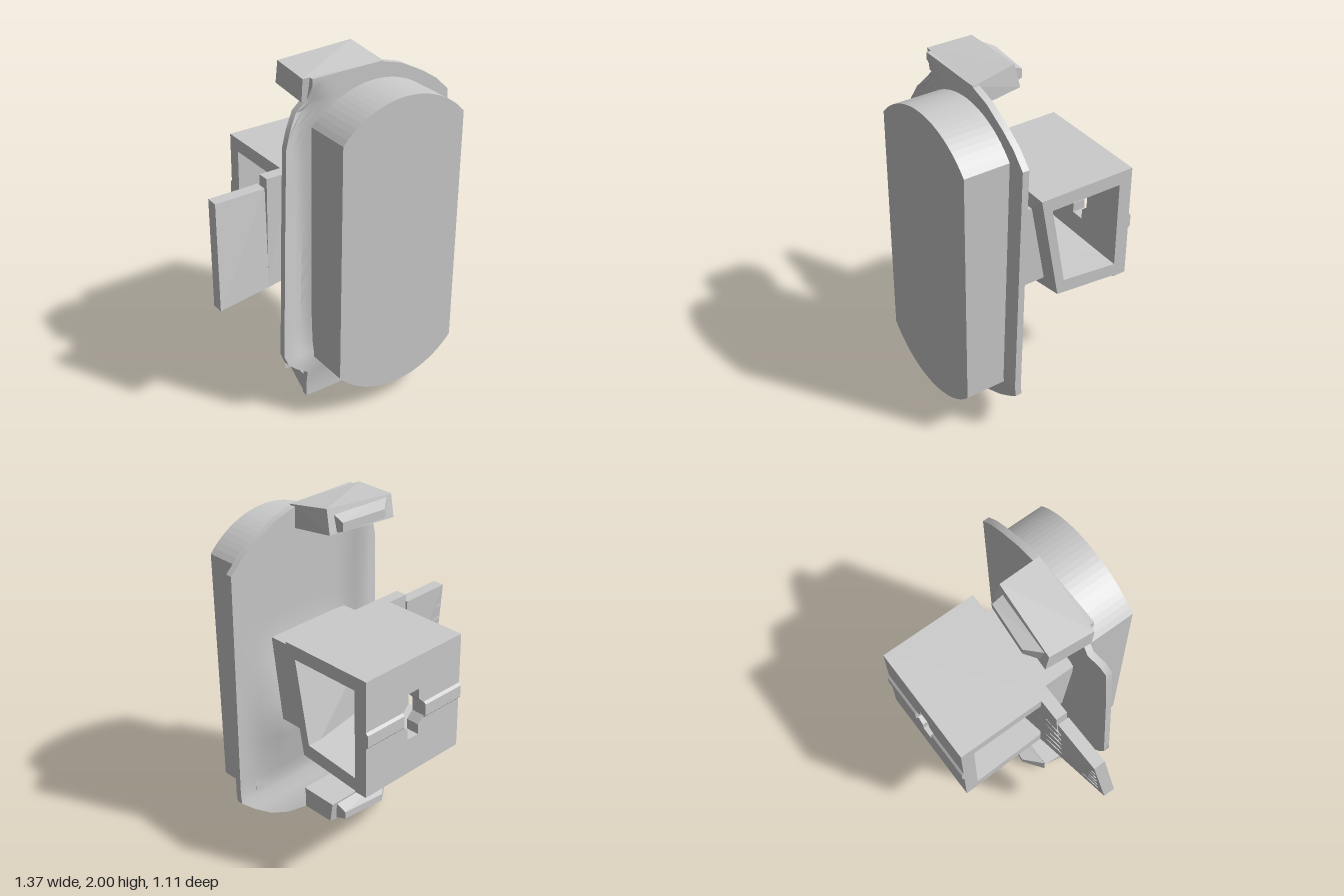
import * as THREE from 'three';
import { toCreasedNormals } from 'three/addons/utils/BufferGeometryUtils.js';

const material = new THREE.MeshStandardMaterial({ color: 0xcccccc });
const lerp = THREE.MathUtils.lerp;

function geometryFromQuads(quads) {
  const pos = [];
  for (const [a, b, c, d] of quads) pos.push(...a, ...b, ...c, ...a, ...c, ...d);
  const g = new THREE.BufferGeometry();
  g.setAttribute('position', new THREE.Float32BufferAttribute(pos, 3));
  g.computeVertexNormals();
  return g;
}

// Six-sided solid; both ends list bottom-left, bottom-right, top-right, top-left as seen from +z
function hexa(back, front) {
  const quads = [front, [back[1], back[0], back[3], back[2]]];
  for (let i = 0; i < 4; i++) {
    const j = (i + 1) % 4;
    quads.push([front[j], front[i], back[i], back[j]]);
  }
  return geometryFromQuads(quads);
}

function extrude(shape, depth) {
  return new THREE.ExtrudeGeometry(shape, { depth, bevelEnabled: false, curveSegments: 12 });
}

const points = (list) => list.map(([x, y]) => new THREE.Vector2(x, y));

// Thin backing plate: rows of [y, left x, right x]
const outline = [
  [0.03, -0.24, 0.22], [0.06, -0.24, 0.36], [0.12, -0.24, 0.49], [0.2, -0.24, 0.6],
  [0.27, -0.33, 0.68], [0.33, -0.39, 0.68], [0.4, -0.42, 0.68], [0.76, -0.405, 0.68],
  [1.25, -0.385, 0.68], [1.62, -0.365, 0.68], [1.7, -0.33, 0.68], [1.78, -0.27, 0.6],
  [1.84, -0.21, 0.51], [1.92, -0.2, 0.36], [1.96, -0.2, 0.22],
];

// Back surface of the plate: slight lean, curled left edge, swelling towards the arm
function plateZ(x, y, swell) {
  let z = y < 0.15 ? 0.25 : y < 0.3 ? lerp(0.25, 0.285, (y - 0.15) / 0.15)
    : lerp(0.285, 0.25, (y - 0.3) / 1.66);
  const height = THREE.MathUtils.smoothstep(y, 0.2, 0.45) * (1 - THREE.MathUtils.smoothstep(y, 1.83, 1.92));
  z -= 0.05 * height * Math.exp(-(((x + 0.25) / 0.09) ** 2));
  if (x < -0.28) z += 0.02 * (-0.28 - x) / 0.14;
  if (swell) {
    const fy = y < 0.76 ? (y - 0.3) / 0.46 : (1.25 - y) / 0.49;
    const fx = x > 0.4 ? (0.6 - x) / 0.2 : (x + 0.2) / 0.3;
    z -= 0.09 * THREE.MathUtils.clamp(fy, 0, 1) * THREE.MathUtils.clamp(fx, 0, 1);
  }
  return z;
}

function plateGeometry() {
  const cols = 22, rows = [];
  outline.forEach((r, i) => {
    if (i) {
      const p = outline[i - 1], n = Math.ceil((r[0] - p[0]) / 0.13);
      for (let k = 1; k < n; k++) rows.push(r.map((v, j) => lerp(p[j], v, k / n)));
    }
    rows.push(r);
  });
  const rings = rows.map(([y, xl, xr]) => {
    const front = [], back = [];
    for (let k = 0; k <= cols; k++) {
      const x = lerp(xl, xr, k / cols);
      front.push([x, y, plateZ(x, y, false) + 0.038]);
      back.unshift([x, y, plateZ(x, y, true)]);
    }
    return [...front, ...back];
  });
  const quads = [], n = rings[0].length, last = rings[rings.length - 1];
  for (let i = 0; i < rings.length - 1; i++) {
    for (let j = 0; j < n; j++) {
      const k = (j + 1) % n;
      quads.push([rings[i][j], rings[i][k], rings[i + 1][k], rings[i + 1][j]]);
    }
  }
  for (let k = 0; k < cols; k++) {
    const o = [k, k + 1, n - 2 - k, n - 1 - k];
    quads.push(o.map((j) => last[j]), o.map((j) => rings[0][j]).reverse());
  }
  return toCreasedNormals(geometryFromQuads(quads), 0.6);
}

// Twisted plane shared by the sleeve's front wall, the arm and the tab
const twistZ = (x, y) => 0.05 - ((1.34 - y) / 0.65) * (0.12 - 0.175 * (0.51 - x));

function twistedPanel(corners, thickness) {
  const at = (dz) => corners.map(([x, y]) => [x, y, twistZ(x, y) - dz]);
  return hexa(at(thickness), at(0));
}

export function createModel() {
  const model = new THREE.Group();
  const add = (name, geometry, parent = model) => {
    const mesh = new THREE.Mesh(geometry, material);
    mesh.name = name;
    parent.add(mesh);
    return mesh;
  };
  const group = (name) => {
    const g = new THREE.Group();
    g.name = name;
    model.add(g);
    return g;
  };

  // Front pad with arched ends
  const R = 0.511, half = 0.853, cx = 0.185;
  const pad = new THREE.Shape();
  pad.absarc(cx, 1.359, R, Math.PI / 2 - half, Math.PI / 2 + half, false);
  pad.absarc(cx, 0.631, R, 1.5 * Math.PI - half, 1.5 * Math.PI + half, false);
  pad.closePath();
  add('frontPad', extrude(pad, 0.275)).position.z = 0.28;

  add('backingPlate', plateGeometry());

  // Arm between plate and sleeve
  const armCorners = [[-0.12, 0.76], [0.42, 0.76], [0.42, 1.25], [-0.12, 1.25]];
  add('arm', hexa(
    armCorners.map(([x, y]) => [x, y, twistZ(x, y) - 0.02]),
    armCorners.map(([x, y]) => [x, y, y > 1 ? 0.265 : 0.2]),
  ));

  // Open sleeve: top, bottom, twisted front wall, rear wall with keyhole
  const sleeve = group('sleeve');
  const xl = -0.2, xr = 0.51;
  add('sleeveTop', hexa(
    [[xl, 1.26, -0.54], [xr, 1.26, -0.54], [xr, 1.34, -0.54], [xl, 1.34, -0.54]],
    [[xl, 1.26, 0.035], [xr, 1.26, 0.035], [xr, 1.34, 0.05], [xl, 1.34, 0.05]],
  ), sleeve);
  const zl = twistZ(xl, 0.69), zr = twistZ(xr, 0.69);
  add('sleeveBottom', hexa(
    [[xl, 0.645, -0.54], [xr, 0.645, -0.54], [xr, 0.722, -0.54], [xl, 0.722, -0.54]],
    [[xl, 0.69, zl], [xr, 0.69, zr], [xr, 0.775, zr + 0.015], [xl, 0.775, zl]],
  ), sleeve);
  add('sleeveFront', twistedPanel([[xl, 0.69], [xr, 0.69], [xr, 1.34], [xl, 1.34]], 0.055), sleeve);
  const rear = new THREE.Shape(points([[xl, 0.645], [xr, 0.645], [xr, 1.34], [xl, 1.34]]));
  rear.holes.push(new THREE.Path(points([
    [0.12, 0.86], [0.12, 0.92], [0.08, 0.96], [0.08, 1.04], [0.12, 1.08], [0.12, 1.14],
    [0.2, 1.14], [0.2, 1.08], [0.24, 1.04], [0.24, 0.96], [0.2, 0.92], [0.2, 0.86],
  ])));
  add('sleeveRear', extrude(rear, 0.08), sleeve).position.z = -0.54;
  for (const [a, b] of [[xl, 0.08], [0.24, xr]]) {
    add('rearRib', hexa(
      [[a, 0.96, -0.553], [b, 0.96, -0.553], [b, 1.03, -0.553], [a, 1.03, -0.553]],
      [[a, 0.94, -0.535], [b, 0.94, -0.535], [b, 1.05, -0.535], [a, 1.05, -0.535]],
    ), sleeve);
  }

  // Side tab with a stepped top edge and grip ridges on its back
  const tab = group('sideTab');
  add('tabRoot', twistedPanel([[-0.35, 0.69], [xl, 0.69], [xl, 1.34], [-0.33, 1.34]], 0.07), tab);
  add('tabPanel', twistedPanel([[-0.69, 0.69], [-0.345, 0.69], [-0.345, 1.29], [-0.65, 1.29]], 0.07), tab);
  for (const x of [-0.62, -0.34]) {
    for (let i = 0; i < 5; i++) {
      const y = 0.8 + i * 0.09;
      const ridge = add('gripRidge', new THREE.BoxGeometry(0.12, 0.012, 0.012), tab);
      ridge.position.set(x + 0.03, y, twistZ(x + 0.03, y) - 0.07);
      ridge.rotation.y = 0.175 * (1.34 - y) / 0.65;
    }
  }

  // End clips with tapered catches
  const clips = group('endClips');
  add('topClip', hexa(
    [[-0.22, 1.84, -0.02], [0.23, 1.865, 0.0], [0.22, 2.0, 0.03], [-0.22, 1.97, 0.0]],
    [[-0.24, 1.83, 0.25], [0.24, 1.83, 0.285], [0.24, 1.96, 0.288], [-0.24, 1.96, 0.26]],
  ), clips);
  add('bottomClip', hexa(
    [[-0.14, 0.0, 0.04], [0.22, 0.03, 0.04], [0.22, 0.155, 0.02], [-0.22, 0.155, 0.02]],
    [[-0.24, 0.03, 0.28], [0.22, 0.03, 0.28], [0.22, 0.16, 0.27], [-0.24, 0.16, 0.27]],
  ), clips);
  const catchGeometry = (y0, y1) => hexa(
    [[-0.1, y0 + 0.03, -0.07], [0.18, y0 + 0.03, -0.045], [0.18, y1 - 0.03, -0.045], [-0.1, y1 - 0.03, -0.07]],
    [[-0.21, y0, 0.02], [0.18, y0, 0.03], [0.18, y1, 0.03], [-0.21, y1, 0.02]],
  );
  add('topCatch', catchGeometry(1.855, 1.965), clips);
  add('bottomCatch', catchGeometry(0.04, 0.145), clips);

  return model;
}
